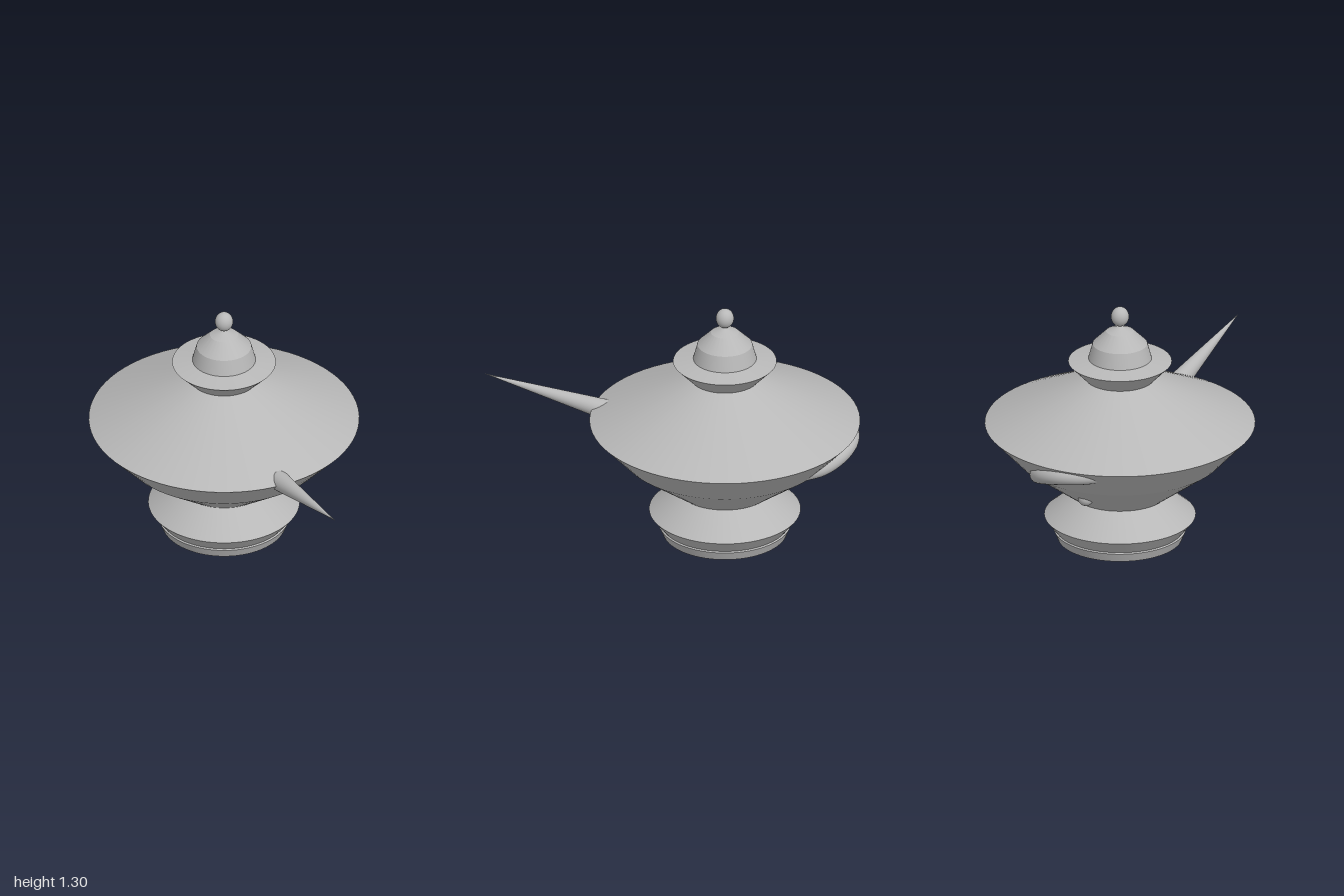
import * as THREE from 'three';
import { toCreasedNormals } from 'three/addons/utils/BufferGeometryUtils.js';

const AXIS_Z = -0.29; // the pot's turning axis sits behind the origin

export function createModel() {
  const model = new THREE.Group();
  model.name = 'teapot';
  const clay = new THREE.MeshStandardMaterial({ color: 0xb8b8b8 });
  clay.name = 'grey clay';

  const add = (name, geometry, x = 0, y = 0, z = AXIS_Z) => {
    const mesh = new THREE.Mesh(geometry, clay);
    mesh.name = name;
    mesh.position.set(x, y, z);
    model.add(mesh);
    return mesh;
  };

  // Turned parts: profiles of [radius, height], with sharp rings
  const turn = (name, profile) => {
    const points = profile.map(([r, y]) => new THREE.Vector2(r, y));
    add(name, toCreasedNormals(new THREE.LatheGeometry(points, 72), 0.13));
  };
  turn('foot', [[0, 0], [0.325, 0], [0.345, 0.05], [0.338, 0.056], [0.395, 0.13], [0.25, 0.253]]);
  turn('body', [[0.25, 0.253], [0.54, 0.47], [0.705, 0.65], [0.18, 0.905]]);
  turn('collar', [[0.18, 0.905], [0.27, 1.0], [0.165, 1.017]]);
  turn('lid', [[0.165, 1.017], [0.143, 1.1], [0.073, 1.17], [0, 1.2]]);

  // Lid finial
  add('finial', new THREE.SphereGeometry(0.053, 32, 20), 0, 1.252).scale.set(0.89, 1, 0.89);

  // Spout: a long needle cone, rooted inside the body
  const tip = new THREE.Vector3(0, 0.77, 1.0);
  const root = new THREE.Vector3(0, 0.62, 0.27);
  const axis = tip.clone().sub(root);
  const mid = tip.clone().add(root).multiplyScalar(0.5);
  const spout = add('spout', new THREE.ConeGeometry(0.06, axis.length(), 40), mid.x, mid.y, mid.z);
  spout.quaternion.setFromUnitVectors(new THREE.Vector3(0, 1, 0), axis.normalize());

  // Handle: a tilted arc across the back, both ends sunk into the body
  const arc = new THREE.CatmullRomCurve3([
    [0.22, 0.51, -0.48], [0.18, 0.53, -0.565], [0.1, 0.568, -0.64], [0, 0.597, -0.67],
    [-0.1, 0.61, -0.652], [-0.17, 0.612, -0.6], [-0.2, 0.605, -0.52],
  ].map((p) => new THREE.Vector3(...p)));
  add('handle', new THREE.TubeGeometry(arc, 48, 0.041, 20));

  // Small rounded stud below the handle
  add('stud', new THREE.SphereGeometry(0.042, 24, 16), 0, 0.363, AXIS_Z - 0.372);

  return model;
}
